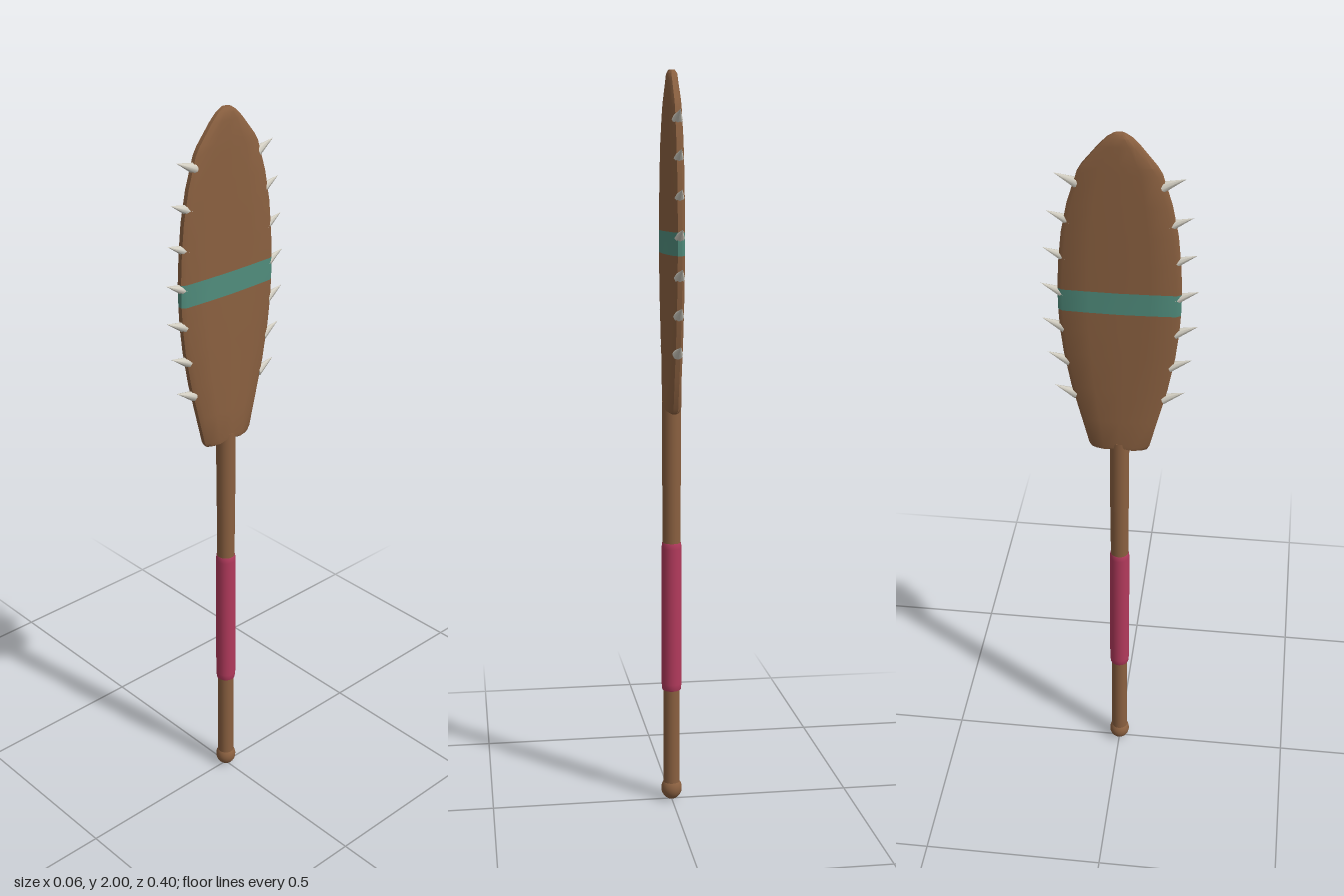
import * as THREE from 'three';
import { toCreasedNormals } from 'three/addons/utils/BufferGeometryUtils.js';

export function createModel() {
  const mat = (name, color) => Object.assign(new THREE.MeshStandardMaterial({ color }), { name });
  const wood = mat('wood', 0x8a6040);
  const wrap = mat('red wrap', 0xb23a5c);
  const teal = mat('teal paint', 0x508c7c);
  const tooth = mat('tooth', 0xd4d0c4);

  const group = new THREE.Group();
  const add = (name, geometry, material) => {
    const mesh = new THREE.Mesh(geometry, material);
    mesh.name = name;
    group.add(mesh);
    return mesh;
  };
  const rod = (name, y0, y1, r0, r1, material) => {
    const mesh = add(name, new THREE.CylinderGeometry(r1, r0, y1 - y0, 20), material);
    mesh.position.y = (y0 + y1) / 2;
  };

  // Shaft: pommel, lower handle, wrapped grip, upper handle
  const pommel = add('pommel', new THREE.SphereGeometry(0.029, 20, 14), wood);
  pommel.position.y = 0.032;
  pommel.scale.y = 1.1;
  rod('lowerHandle', 0.04, 0.33, 0.023, 0.023, wood);
  const grip = [[0.022, 0.32], [0.026, 0.322], [0.028, 0.34], [0.028, 0.725], [0.026, 0.74], [0.023, 0.742]];
  add('grip', new THREE.LatheGeometry(grip.map(([r, y]) => new THREE.Vector2(r, y)), 20), wrap);
  rod('upperHandle', 0.73, 0.9, 0.025, 0.025, wood);
  rod('bladeSocket', 0.9, 1.13, 0.026, 0.026, wood);

  // Blade rows: height, half width, half thickness at middle, half thickness at rim
  const rows = [
    [1.103, 0.06, 0.018, 0.008], [1.108, 0.073, 0.024, 0.012], [1.12, 0.08, 0.025, 0.014],
    [1.2, 0.1, 0.024, 0.014], [1.3, 0.125, 0.022, 0.014], [1.4, 0.143, 0.021, 0.014],
    [1.47, 0.151, 0.02, 0.014], [1.525, 0.154, 0.019, 0.014], [1.585, 0.155, 0.018, 0.014],
    [1.66, 0.151, 0.018, 0.014], [1.74, 0.143, 0.017, 0.014], [1.82, 0.127, 0.017, 0.014],
    [1.9, 0.102, 0.016, 0.013], [1.92, 0.09, 0.016, 0.013], [1.97, 0.049, 0.015, 0.012],
    [1.99, 0.029, 0.014, 0.011], [2.0, 0.014, 0.009, 0.006],
  ];
  const bandRow = 7;
  const positions = [];
  const index = [];
  for (const [y, w, mid, rim] of rows) {
    const inner = w - Math.min(0.012, w * 0.3);
    const half = [[w, rim * 0.45], [inner, rim], [w * 0.5, rim + (mid - rim) * 0.6], [0, mid],
      [-w * 0.5, rim + (mid - rim) * 0.6], [-inner, rim], [-w, rim * 0.45]];
    const ring = [...half, ...half.map(([z, x]) => [-z, -x])];
    for (const [z, x] of ring) {
      // Shallow notch at the foot where the handle enters
      const lift = y < 1.13 ? 0.012 * Math.max(0, 1 - Math.abs(z) / 0.04) : 0;
      positions.push(x, y + lift, z);
    }
  }
  const n = 14;
  const last = rows.length - 1;
  const foot = positions.length / 3;
  positions.push(0, 1.115, 0, 0, 2, 0);
  for (let j = 0; j < n; j++) index.push(foot, (j + 1) % n, j);
  for (let i = 0; i < last; i++) {
    for (let j = 0; j < n; j++) {
      const a = i * n + j;
      const b = i * n + (j + 1) % n;
      index.push(a, b, b + n, a, b + n, a + n);
    }
  }
  for (let j = 0; j < n; j++) index.push(foot + 1, last * n + j, last * n + (j + 1) % n);
  const blade = new THREE.BufferGeometry();
  blade.setAttribute('position', new THREE.Float32BufferAttribute(positions, 3));
  blade.setIndex(index);
  // The painted band is one row of the blade
  const start = n * 3 + bandRow * n * 6;
  blade.addGroup(0, start, 0);
  blade.addGroup(start, n * 6, 1);
  blade.addGroup(start + n * 6, index.length - start - n * 6, 0);
  add('blade', toCreasedNormals(blade, 0.6), [wood, teal]);

  // Teeth along both edges, pointing outward and slightly up: tip height, tip z
  const tips = [[1.89, 0.159], [1.79, 0.179], [1.69, 0.191], [1.59, 0.198], [1.49, 0.198], [1.39, 0.186], [1.29, 0.17]];
  const up = new THREE.Vector3(0, 1, 0);
  for (const side of [-1, 1]) {
    for (const [y, z] of tips) {
      const tip = new THREE.Vector3(0, y + 0.003, side * z);
      const base = new THREE.Vector3(0, y - 0.021, side * (z - 0.058));
      const direction = tip.clone().sub(base);
      const mesh = add('tooth', new THREE.ConeGeometry(0.0145, direction.length(), 8), tooth);
      mesh.position.copy(base).add(tip).multiplyScalar(0.5);
      mesh.quaternion.setFromUnitVectors(up, direction.normalize());
    }
  }
  return group;
}
